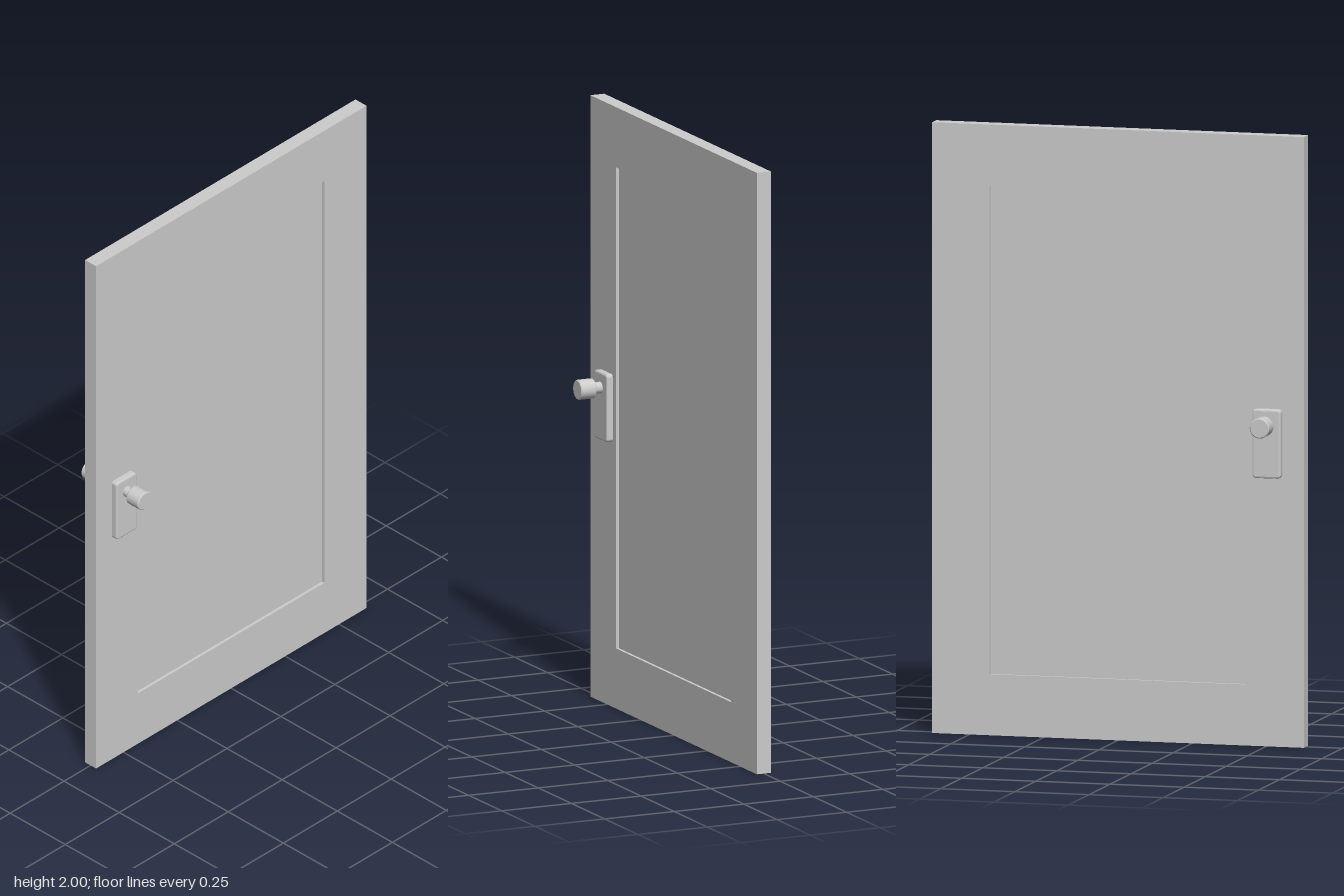
import * as THREE from 'three';

const material = new THREE.MeshStandardMaterial({ color: 0xcccccc });

function addMesh(parent, name, geometry, x = 0, y = 0, z = 0) {
  const mesh = new THREE.Mesh(geometry, material);
  mesh.name = name;
  mesh.position.set(x, y, z);
  parent.add(mesh);
  return mesh;
}

// Traces a rectangle centred on the origin, with rounded corners
function roundedRect(w, h, r) {
  const s = new THREE.Shape();
  const x = w / 2, y = h / 2;
  s.moveTo(-x + r, -y);
  s.lineTo(x - r, -y);
  s.absarc(x - r, -y + r, r, -Math.PI / 2, 0);
  s.absarc(x - r, y - r, r, 0, Math.PI / 2);
  s.absarc(-x + r, y - r, r, Math.PI / 2, Math.PI);
  s.absarc(-x + r, -y + r, r, Math.PI, Math.PI * 1.5);
  return s;
}

function rectPoints(w, h) {
  return [[-w, -h], [w, -h], [w, h], [-w, h]].map(([x, y]) => new THREE.Vector2(x / 2, y / 2));
}

// Back plate, stem and knob, built facing +z from the door's middle plane
function makeHandle(name) {
  const handle = new THREE.Group();
  handle.name = name;

  const bevel = 0.006;
  const plate = new THREE.ExtrudeGeometry(roundedRect(0.096 - 2 * bevel, 0.226 - 2 * bevel, 0.006), {
    depth: 0.021, bevelSize: bevel, bevelThickness: bevel, bevelSegments: 2, curveSegments: 3,
  });
  addMesh(handle, 'backPlate', plate, 0, 0.993, 0.02);

  // Stem and knob turned as one profile, with a slight chamfer on the knob
  const profile = [
    [0, 0.04], [0.019, 0.04], [0.019, 0.074], [0.030, 0.074], [0.033, 0.077],
    [0.033, 0.127], [0.030, 0.13], [0, 0.13],
  ];
  // Each section is turned separately to keep the edges sharp
  for (let i = 1; i < profile.length; i++) {
    const points = [profile[i - 1], profile[i]].map(([r, z]) => new THREE.Vector2(r, z));
    const section = new THREE.LatheGeometry(points, 32).rotateX(Math.PI / 2);
    addMesh(handle, i < 3 ? 'stem' : 'knob', section, 0, 1.055, 0);
  }
  return handle;
}

export function createModel() {
  const door = new THREE.Group();
  door.name = 'door';

  // Frame with a rectangular opening
  const frame = new THREE.Shape(rectPoints(1.254, 2));
  frame.holes.push(new THREE.Path(rectPoints(0.864, 1.6).reverse()));
  addMesh(door, 'frame', new THREE.ExtrudeGeometry(frame, { depth: 0.05, bevelEnabled: false }), 0, 1, -0.025);

  // Inset panel, recessed on both faces
  addMesh(door, 'panel', new THREE.BoxGeometry(0.864, 1.6, 0.03), 0, 1, 0);

  // One handle on each face
  const front = makeHandle('frontHandle');
  const back = makeHandle('backHandle');
  back.rotation.y = Math.PI;
  for (const handle of [front, back]) {
    handle.position.x = -0.506;
    door.add(handle);
  }
  return door;
}
